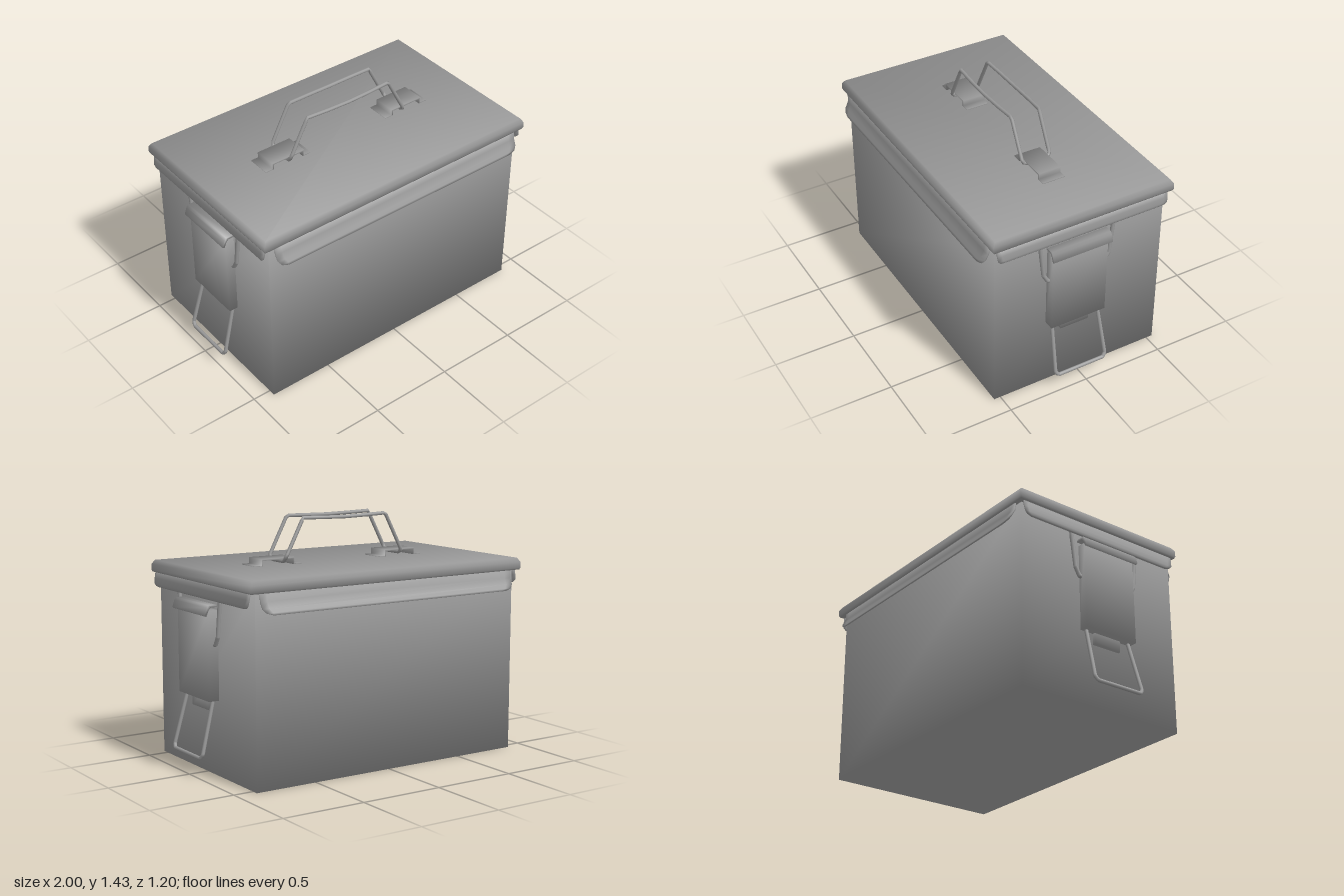
import * as THREE from 'three';
import { mergeVertices } from 'three/addons/utils/BufferGeometryUtils.js';

const metal = new THREE.MeshStandardMaterial({ color: 0x999999 });

function part(name, geometry, x = 0, y = 0, z = 0) {
  const mesh = new THREE.Mesh(geometry, metal);
  mesh.name = name;
  mesh.position.set(x, y, z);
  return mesh;
}

// Weld corners and share one soft normal per corner, each face weighted by its angle there
function soften(geometry) {
  geometry.deleteAttribute('normal');
  geometry.deleteAttribute('uv');
  geometry.clearGroups();
  const g = mergeVertices(geometry, 1e-5);
  const pos = g.attributes.position;
  const sums = Array.from({ length: pos.count }, () => new THREE.Vector3());
  for (let f = 0; f < g.index.count; f += 3) {
    const ids = [0, 1, 2].map((k) => g.index.getX(f + k));
    const p = ids.map((i) => new THREE.Vector3().fromBufferAttribute(pos, i));
    const normal = new THREE.Triangle(...p).getNormal(new THREE.Vector3());
    ids.forEach((id, k) => {
      const a = p[(k + 1) % 3].clone().sub(p[k]);
      const b = p[(k + 2) % 3].clone().sub(p[k]);
      sums[id].addScaledVector(normal, a.angleTo(b));
    });
  }
  const normals = sums.flatMap((n) => n.normalize().toArray());
  g.setAttribute('normal', new THREE.Float32BufferAttribute(normals, 3));
  return g;
}

const softBox = (w, h, d) => soften(new THREE.BoxGeometry(w, h, d));

// Bent wire through straight runs between the given points
function wire(name, points, radius, closed = false) {
  const curve = new THREE.CatmullRomCurve3(
    points.map((p) => new THREE.Vector3(...p)), closed, 'catmullrom', 0);
  return part(name, new THREE.TubeGeometry(curve, 100, radius, 8, closed));
}

// Closed (x, y) outline extruded along z, centred on z = 0
function extrude(points, depth) {
  const shape = new THREE.Shape(points.map((p) => new THREE.Vector2(...p)));
  const g = new THREE.ExtrudeGeometry(shape, { depth, bevelEnabled: false });
  return soften(g.translate(0, 0, -depth / 2));
}

// Thin sheet flap with soft ends: each row, top first, is [y, distance outwards, half width]
function flap(name, rows) {
  const n = rows.length - 1;
  const columns = [-1, -0.95, 0.95, 1];
  const g = new THREE.BoxGeometry(3, n, 1, 3, n, 1);
  const pos = g.attributes.position;
  for (let i = 0; i < pos.count; i++) {
    const [y, out, half] = rows[Math.round(n / 2 - pos.getY(i))];
    const column = columns[Math.round(pos.getX(i) + 1.5)];
    pos.setXYZ(i, column * half, y, out + (pos.getZ(i) - 0.5) * 0.008);
  }
  return part(name, soften(g));
}

// Lid with a bevelled upper edge and a slightly eased lower one
function createLid() {
  const g = new THREE.BoxGeometry(1.855, 3, 1.14, 1, 3, 1);
  const pos = g.attributes.position;
  const levels = [[1.085, 0.005], [1.095, 0], [1.13, 0], [1.155, 0.016]];
  for (let i = 0; i < pos.count; i++) {
    const [y, inset] = levels[Math.round(pos.getY(i) + 1.5)];
    const x = pos.getX(i), z = pos.getZ(i);
    pos.setXYZ(i, x - Math.sign(x) * inset, y, z - Math.sign(z) * inset);
  }
  return part('lid', soften(g), -0.002, 0, -0.003);
}

// Latch on the +x side, symmetric about z = 0
function createLatch() {
  const latch = new THREE.Group();
  latch.name = 'latch';
  latch.add(part('latchLever', softBox(0.065, 0.51, 0.35), 0.911, 0.69, 0));

  // Curled lip over the top of the lever
  latch.add(part('latchLip', extrude([
    [0.89, 0.965], [0.9, 0.978], [0.945, 0.978], [0.958, 0.965],
    [0.972, 0.923], [0.96, 0.916], [0.942, 0.955], [0.93, 0.965],
  ], 0.375)));

  // Tab below the lever
  latch.add(part('latchTab', softBox(0.025, 0.12, 0.18), 0.894, 0.43, 0));

  // Wire arms reaching up under the lid
  for (const s of [-1, 1]) {
    latch.add(wire('latchArm', [
      [0.9, 1.08, s * 0.235], [0.9, 0.99, s * 0.232], [0.902, 0.8, s * 0.21],
      [0.902, 0.755, s * 0.185], [0.902, 0.75, s * 0.165],
    ], 0.012));
  }

  // Pull bail hanging out below
  const half = [[0.898, 0.46, 0.148], [0.984, 0.135, 0.165], [0.99, 0.114, 0.148]];
  latch.add(wire('latchBail', [
    ...half, ...half.map(([x, y, z]) => [x, y, -z]).reverse(),
  ], 0.011));
  return latch;
}

export function createModel() {
  const model = new THREE.Group();
  model.name = 'metalBox';

  model.add(part('body', softBox(1.77, 1.1, 1.08), -0.005, 0.55, 0));
  model.add(createLid());

  // Lid skirt flaps, flared along the long sides
  for (const turn of [0, Math.PI]) {
    const long = flap('longFlap', [
      [1.095, 0.558, 0.86], [1.04, 0.565, 0.86], [1.005, 0.583, 0.857],
      [0.982, 0.594, 0.84], [0.97, 0.6, 0.8],
    ]);
    long.rotation.y = turn;
    const short = flap('shortFlap', [
      [1.095, 0.912, 0.54], [1.05, 0.92, 0.54], [1.02, 0.924, 0.535],
      [1.006, 0.922, 0.52], [1.0, 0.918, 0.49],
    ]);
    short.rotation.y = turn + Math.PI / 2;
    model.add(long, short);
  }

  // Latches at both ends
  for (const turn of [0, Math.PI]) {
    const latch = createLatch();
    latch.rotation.y = turn;
    latch.position.z = 0.035;
    model.add(latch);
  }

  // Strap brackets holding the handle
  const strap = extrude([
    [-0.155, 1.15], [-0.155, 1.16], [-0.11, 1.16], [-0.11, 1.195], [0.11, 1.195],
    [0.11, 1.16], [0.155, 1.16], [0.155, 1.15], [0.1, 1.15], [0.1, 1.186],
    [-0.1, 1.186], [-0.1, 1.15],
  ], 0.14);
  for (const x of [-0.41, 0.445]) model.add(part('handleBracket', strap, x));

  // Double wire handle with pivots running under the brackets
  const end = [[0.15, 1.414, 0.094], [0.288, 1.418, 0.088], [0.406, 1.195, 0.088], [0.41, 1.175, 0.07]];
  const side = [
    ...end.map(([x, y, z]) => [-x, y, z]).reverse(), [0, 1.411, 0.096], ...end,
  ];
  model.add(wire('handle', [
    ...side, ...side.map(([x, y, z]) => [x, y, -z]).reverse(),
  ], 0.011, true));
  return model;
}
